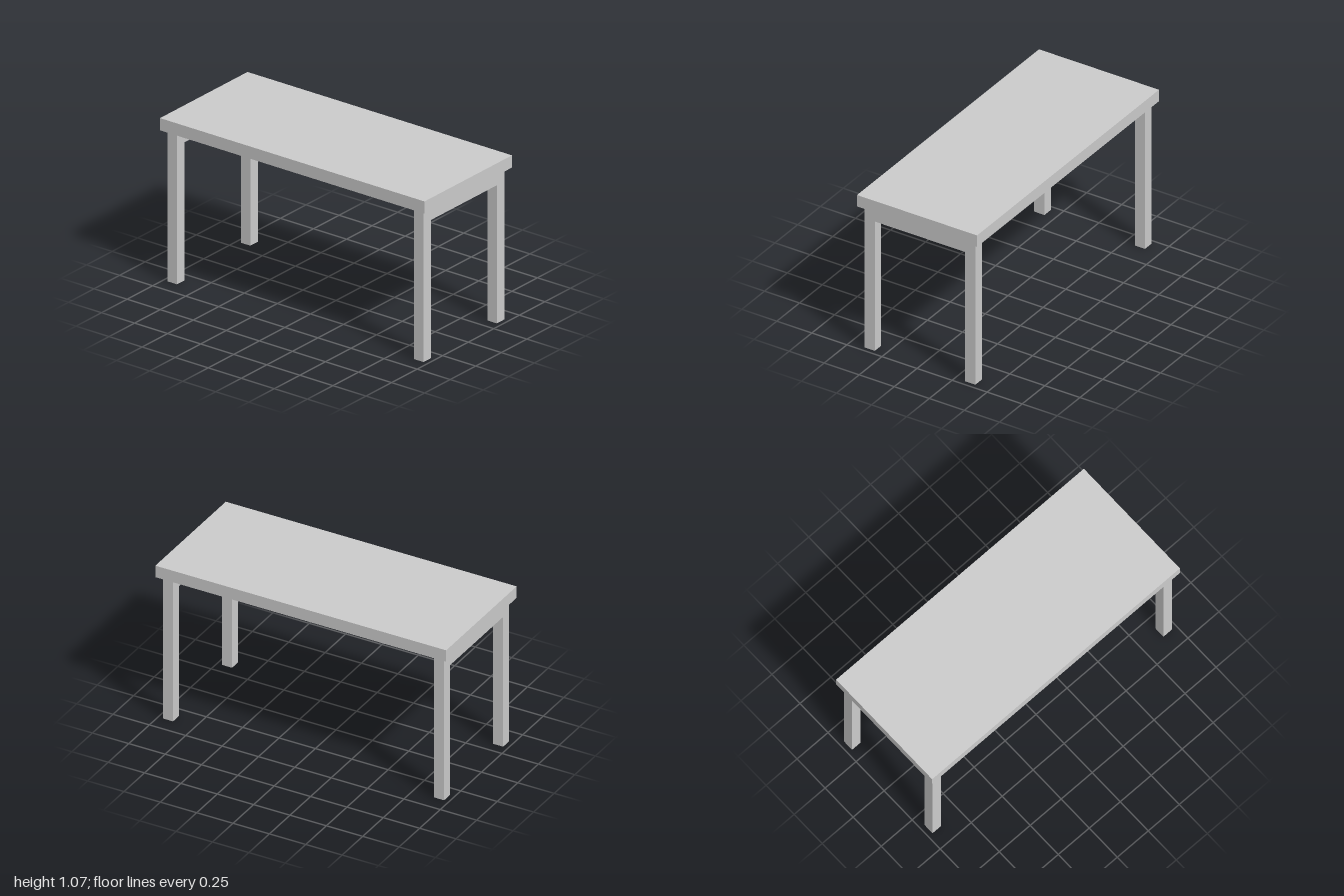
import * as THREE from 'three';

const LEG = { outer: 0.395, inner: 0.322, width: 0.07, x: 0.932 };
const TOP = { bottom: 0.993, height: 0.08, depth: 0.856 };
const RAIL_BOTTOM = 0.905;

// Drops the triangles lying on the floor, so the tube feet stay open
function openFeet(geometry) {
  const p = geometry.attributes.position;
  const kept = [];
  for (let i = 0; i < p.count; i += 3) {
    const onFloor = [i, i + 1, i + 2].every((k) => Math.abs(p.getY(k)) < 1e-4);
    if (!onFloor) kept.push(i, i + 1, i + 2);
  }
  geometry.clearGroups();
  geometry.setIndex(kept);
  return geometry;
}

// Upside-down U: two legs joined by a rail under the top
function legFrameGeometry() {
  const { outer, inner, width } = LEG;
  const outline = new THREE.Shape([
    [-outer, 0], [-inner, 0], [-inner, RAIL_BOTTOM], [inner, RAIL_BOTTOM],
    [inner, 0], [outer, 0], [outer, TOP.bottom], [-outer, TOP.bottom],
  ].map(([z, y]) => new THREE.Vector2(z, y)));
  const geometry = new THREE.ExtrudeGeometry(outline, { depth: width, bevelEnabled: false });
  geometry.translate(0, 0, -width / 2).rotateY(-Math.PI / 2);
  return openFeet(geometry);
}

export function createModel() {
  const group = new THREE.Group();
  group.name = 'table';

  const tableTop = new THREE.Mesh(
    new THREE.BoxGeometry(2, TOP.height, TOP.depth),
    new THREE.MeshStandardMaterial({ color: 0xcccccc }),
  );
  tableTop.name = 'tableTop';
  tableTop.position.y = TOP.bottom + TOP.height / 2;
  group.add(tableTop);

  // One leg frame at each end
  const frameGeometry = legFrameGeometry();
  const frameMaterial = new THREE.MeshStandardMaterial({ color: 0xcccccc, side: THREE.DoubleSide });
  for (const side of [1, -1]) {
    const frame = new THREE.Mesh(frameGeometry, frameMaterial);
    frame.name = side > 0 ? 'leftLegFrame' : 'rightLegFrame';
    frame.position.x = side * LEG.x;
    group.add(frame);
  }
  return group;
}
